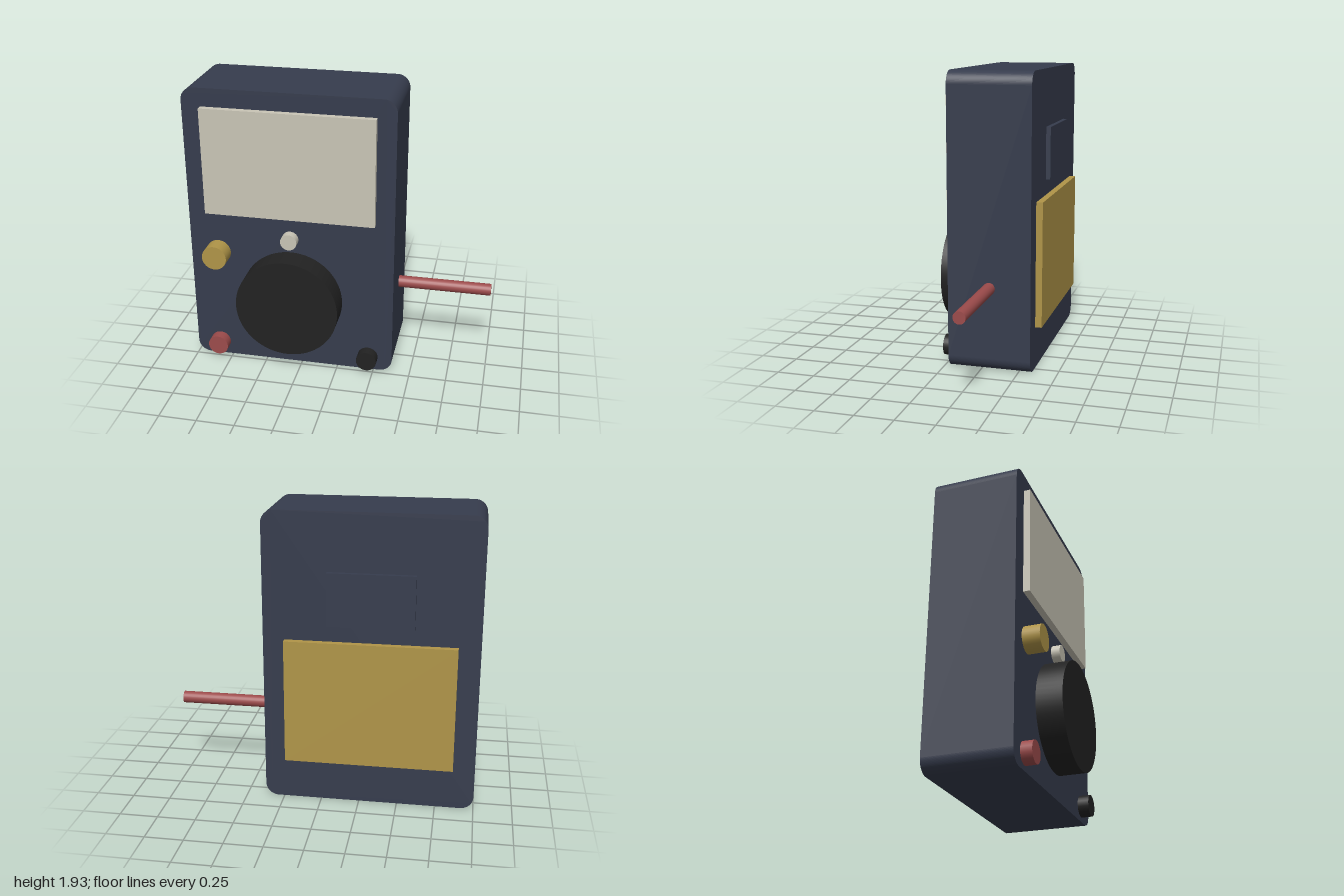
import * as THREE from 'three';

const mat = (name, color) => {
  const m = new THREE.MeshStandardMaterial({ color });
  m.name = name;
  return m;
};

export function createModel() {
  const group = new THREE.Group();
  const navy = mat('navy', 0x363c4d);
  const cream = mat('cream', 0xc9c5b6);
  const gold = mat('gold', 0xb09548);
  const red = mat('red', 0x9c4b4b);
  const black = mat('black', 0x222222);

  const FRONT = 0.213, BACK = -0.335, SINK = 0.02;

  const add = (name, geometry, material) => {
    const mesh = new THREE.Mesh(geometry, material);
    mesh.name = name;
    group.add(mesh);
    return mesh;
  };

  // Flat rectangular plate between two corners
  const plate = (name, x0, x1, y0, y1, z0, z1, material) =>
    add(name, new THREE.BoxGeometry(x1 - x0, y1 - y0, z1 - z0), material)
      .position.set((x0 + x1) / 2, (y0 + y1) / 2, (z0 + z1) / 2);

  // Round knob standing out of the front face
  const knob = (name, x, y, r, z1, sides, material) => {
    const z0 = FRONT - SINK;
    const g = new THREE.CylinderGeometry(r, r, z1 - z0, sides).rotateX(Math.PI / 2);
    add(name, g, material).position.set(x, y, (z0 + z1) / 2);
  };

  // Case: rounded rectangle extruded front to back
  const x0 = -1, x1 = 0.375, h = 1.932, r = 0.085;
  const outline = new THREE.Shape();
  outline.absarc(x1 - r, r, r, -Math.PI / 2, 0);
  outline.absarc(x1 - r, h - r, r, 0, Math.PI / 2);
  outline.absarc(x0 + r, h - r, r, Math.PI / 2, Math.PI);
  outline.absarc(x0 + r, r, r, Math.PI, Math.PI * 1.5);
  outline.closePath();
  const body = new THREE.ExtrudeGeometry(outline, {
    depth: FRONT - BACK, bevelEnabled: false, curveSegments: 10,
  });
  add('case', body, navy).position.z = BACK;

  // Front controls
  plate('screen', -0.875, 0.252, 1.094, 1.812, FRONT - SINK, 0.255, cream);
  knob('dial', -0.312, 0.5, 0.344, 0.378, 64, black);
  knob('smallButton', -0.314, 0.941, 0.055, 0.27, 24, cream);
  knob('goldKnob', -0.81, 0.803, 0.083, 0.323, 32, gold);
  knob('redSocket', -0.834, 0.1, 0.069, 0.283, 24, red);
  knob('blackSocket', 0.21, 0.1, 0.069, 0.283, 24, black);

  // Back panels
  plate('backPanel', -0.86, 0.236, 0.28, 1.105, -0.378, BACK + SINK, gold);
  plate('backLabelPlate', -0.59, -0.036, 1.21, 1.555, -0.365, BACK + SINK, navy);

  // Side probe rod
  const rod = new THREE.CylinderGeometry(0.04, 0.04, 0.665, 24).rotateZ(Math.PI / 2);
  add('sideRod', rod, red).position.set(0.6675, 0.556, -0.062);

  return group;
}
